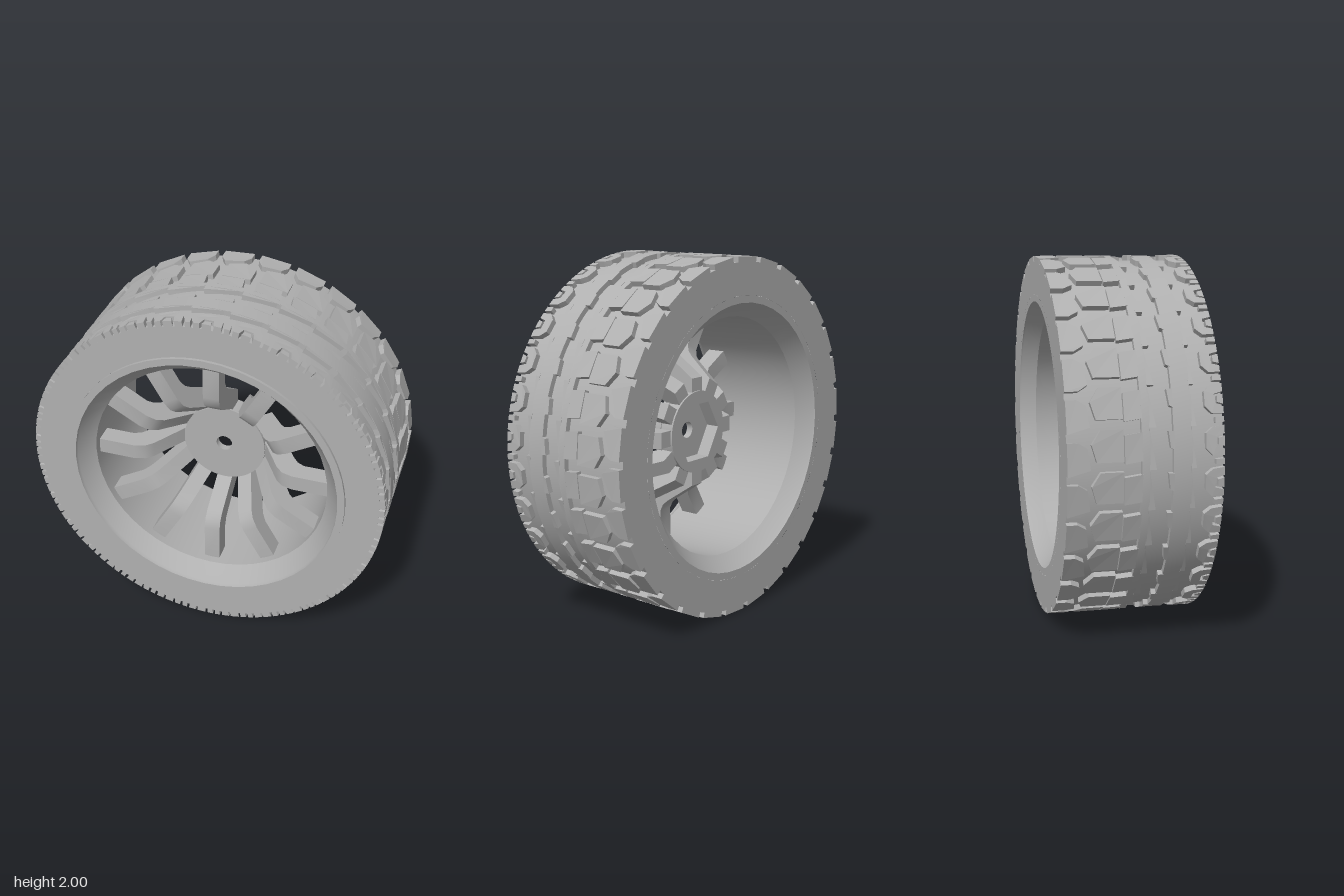
import * as THREE from 'three';
import { mergeGeometries, toCreasedNormals } from 'three/addons/utils/BufferGeometryUtils.js';

const PITCHES = 30; // tread repeats around the tyre
const STEP = (Math.PI * 2) / PITCHES;
const BASE = 0.955, CROWN = 1.0;

// Revolve [radius, z] points around the wheel axis
function revolve(points, segments) {
  const geo = new THREE.LatheGeometry(points.map(([r, z]) => new THREE.Vector2(r, z)), segments);
  geo.rotateX(Math.PI / 2);
  return toCreasedNormals(geo, 0.5);
}

// Wrap one [pitch fraction, z] outline onto the tyre and repeat it all round
function treadRow(outlines) {
  const blocks = [];
  for (const outline of outlines) {
    const shape = new THREE.Shape(outline.map(([u, z]) => new THREE.Vector2(u * STEP, z)));
    for (let i = 0; i < PITCHES; i++) {
      const geo = new THREE.ExtrudeGeometry(shape, { depth: CROWN - BASE, bevelEnabled: false });
      const p = geo.attributes.position;
      for (let k = 0; k < p.count; k++) {
        const angle = p.getX(k) + i * STEP;
        const r = BASE + p.getZ(k);
        p.setXYZ(k, r * Math.cos(angle), r * Math.sin(angle), p.getY(k));
      }
      geo.computeVertexNormals();
      blocks.push(geo);
    }
  }
  return mergeGeometries(blocks);
}

// Disc with a hole, from z0 to z1
function pierced(radius, hole, holeSides, z0, z1) {
  const shape = new THREE.Shape().absarc(0, 0, radius, 0, Math.PI * 2);
  const cut = [];
  for (let i = 0; i < holeSides; i++) {
    const a = (-i / holeSides) * Math.PI * 2;
    cut.push(new THREE.Vector2(hole * Math.cos(a), hole * Math.sin(a)));
  }
  shape.holes.push(new THREE.Path(cut));
  const geo = new THREE.ExtrudeGeometry(shape, { depth: z1 - z0, bevelEnabled: false, curveSegments: 24 });
  geo.translate(0, 0, z0);
  return toCreasedNormals(geo, 0.5);
}

export function createModel() {
  const model = new THREE.Group();
  const grey = new THREE.MeshStandardMaterial({ color: 0xb0b0b0 });
  grey.name = 'grey';
  const wheel = new THREE.Group();
  wheel.name = 'wheel';
  wheel.position.y = 1;
  model.add(wheel);

  const add = (name, geo, parent = wheel) => {
    const mesh = new THREE.Mesh(geo, grey);
    mesh.name = name;
    parent.add(mesh);
    return mesh;
  };

  // Tyre carcass with two raised bands
  add('tyre', revolve([
    [0.79, -0.4], [0.97, -0.4], [0.97, -0.03], [0.998, -0.03], [0.998, 0.012], [0.97, 0.012],
    [0.97, 0.13], [0.998, 0.13], [0.998, 0.225], [0.97, 0.225], [0.97, 0.39], [0.79, 0.39],
  ], 90));

  // Rim: raised front lip, sloped mouths and straight barrel
  add('rim', revolve([
    [0.79, 0.385], [0.79, 0.405], [0.75, 0.405], [0.745, 0.385], [0.67, 0.3],
    [0.67, -0.31], [0.745, -0.39], [0.75, -0.4], [0.79, -0.4],
  ], 48));

  // Tread rows, front to back
  const tread = new THREE.Group();
  tread.name = 'tread';
  wheel.add(tread);
  add('frontShoulderBlocks', treadRow([
    [[0.0, 0.39], [0.04, 0.33], [0.18, 0.295], [0.55, 0.295], [0.72, 0.33], [0.72, 0.39], [0.56, 0.39], [0.5, 0.345], [0.26, 0.345], [0.2, 0.39]],
    [[0.26, 0.39], [0.3, 0.36], [0.46, 0.36], [0.5, 0.39]],
    [[0.79, 0.39], [0.81, 0.345], [0.93, 0.345], [0.93, 0.39]],
  ]), tread);
  add('frontBandTeeth', treadRow([
    [[0, 0.22], [1, 0.22], [1, 0.247]],
    [[0.1, 0.105], [0.5, 0.115], [0.55, 0.135], [0.1, 0.135]],
  ]), tread);
  add('middleBandTeeth', treadRow([[[0, 0.008], [1, 0.008], [1, 0.044]]]), tread);
  add('middleBlocks', treadRow([[[0.1, -0.025], [0.16, -0.115], [0.84, -0.115], [0.78, -0.025]]]), tread);
  add('arrowBlocks', treadRow([
    [[0.02, -0.12], [0.02, -0.235], [0.36, -0.28], [0.78, -0.255], [0.78, -0.12]],
  ]), tread);
  add('backShoulderBlocks', treadRow([
    [[0.3, -0.4], [0.3, -0.345], [0.44, -0.3], [0.95, -0.285], [1.1, -0.335], [1.1, -0.4]],
  ]), tread);

  // Hub: front plate with axle hole, hexagonal socket behind
  add('hubPlate', pierced(0.24, 0.047, 24, -0.02, 0.02));
  add('hubSocket', pierced(0.235, 0.185, 6, -0.1, -0.02));

  // Twelve spokes bending forward from the hub to the rim
  const profile = [
    [0.195, 0.0], [0.24, 0.01], [0.36, 0.2], [0.4, 0.238], [0.46, 0.255], [0.68, 0.255],
    [0.68, 0.145], [0.5, 0.145], [0.46, 0.125], [0.43, 0.09], [0.31, -0.09], [0.195, -0.09],
  ];
  const spokeShape = new THREE.Shape(profile.map(([r, z]) => new THREE.Vector2(r, z)));
  let spokeGeo = new THREE.ExtrudeGeometry(spokeShape, { depth: 0.09, bevelEnabled: false });
  spokeGeo.translate(0, 0, -0.045);
  spokeGeo.rotateX(Math.PI / 2);
  spokeGeo = toCreasedNormals(spokeGeo, 0.7);
  const spokes = new THREE.Group();
  spokes.name = 'spokes';
  wheel.add(spokes);
  for (let i = 0; i < 12; i++) add('spoke', spokeGeo, spokes).rotation.z = (i * Math.PI) / 6;

  return model;
}
